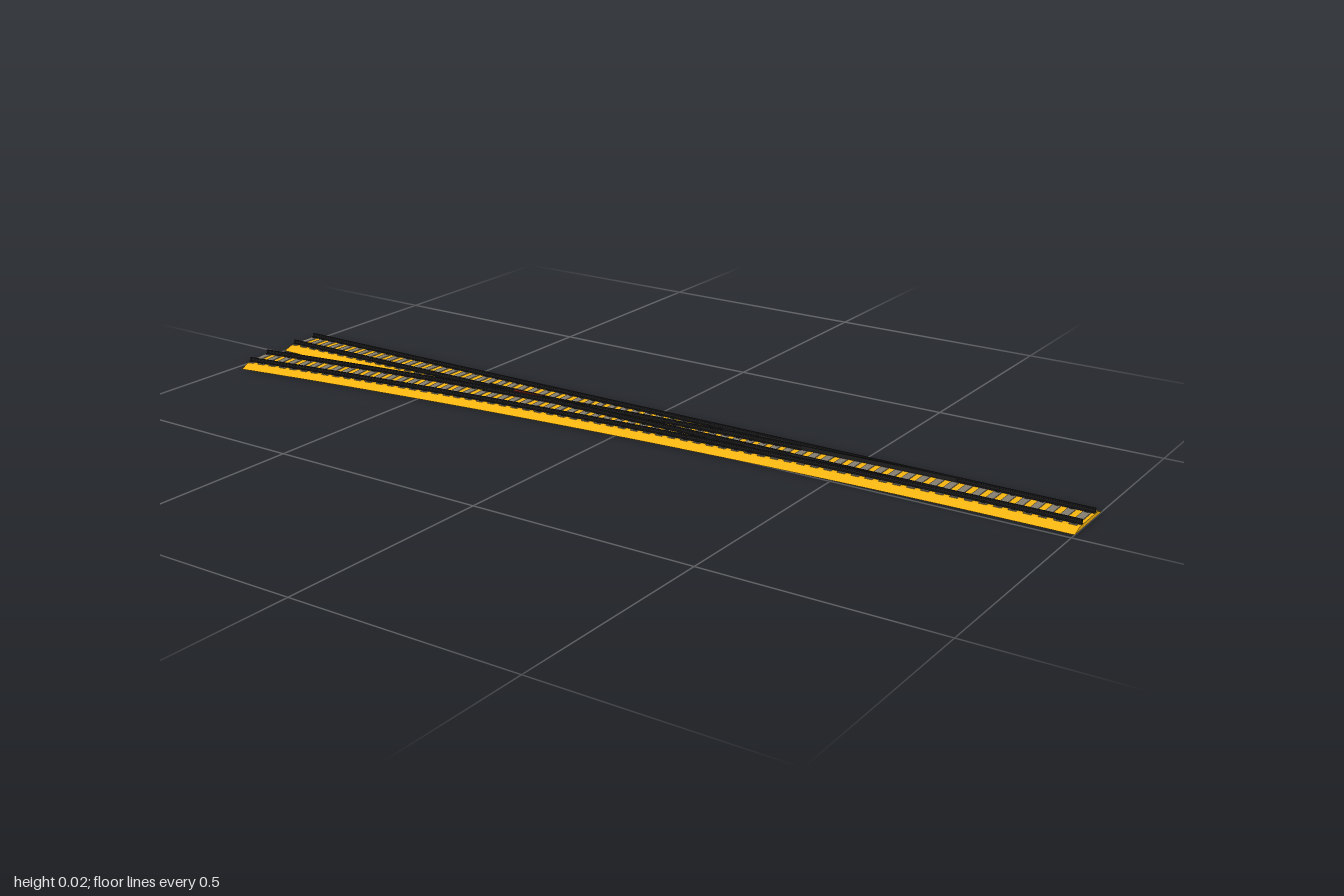
import * as THREE from 'three';
import { mergeGeometries } from 'three/addons/utils/BufferGeometryUtils.js';

const LENGTH = 2, RADIUS = 12.28, START_Z = -0.085, GAUGE = 0.033;
const SLEEPER_TOP = 0.0095, PITCH = 0.03;

// Both routes start at x = 1 and run towards -x; angle is the heading after distance s
const straight = s => ({ x: 1 - s, z: START_Z, angle: 0 });
const curved = s => {
  const angle = s / RADIUS;
  return { x: 1 - RADIUS * Math.sin(angle), z: START_Z + RADIUS * (1 - Math.cos(angle)), angle };
};

const material = color => new THREE.MeshStandardMaterial({ color, flatShading: true });
const ballastMat = material(0xf5b40f);
const sleeperMat = material(0x827c70);
const railMat = material(0x1c1c1e);
const frogMat = material(0x701a16);

const polygon = points => new THREE.Shape(points.map(p => new THREE.Vector2(...p)));
const mirrored = half => polygon([...half, ...half.map(([x, y]) => [-x, y]).reverse()]);

const ballastShape = mirrored([[0.069, 0], [0.045, 0.008]]);
const railShape = mirrored([
  [0.004, 0.0093], [0.004, 0.0105], [0.001, 0.0116],
  [0.001, 0.0158], [0.0021, 0.0166], [0.0021, 0.019],
]);
const bladeShape = mirrored([[0.0012, 0.0095], [0.0012, 0.0188]]);

// Sweep a cross-section along a route, shifted sideways by offset
function sweep(shape, route, from, to, offset = 0) {
  const steps = route === straight ? 1 : Math.ceil((to - from) / 0.05);
  const geo = new THREE.ExtrudeGeometry(shape, { depth: 1, steps, bevelEnabled: false });
  const pos = geo.attributes.position;
  for (let i = 0; i < pos.count; i++) {
    const p = route(from + pos.getZ(i) * (to - from));
    const u = pos.getX(i) + offset;
    pos.setXYZ(i, p.x + u * Math.sin(p.angle), pos.getY(i), p.z + u * Math.cos(p.angle));
  }
  geo.computeVertexNormals();
  return geo;
}

// A box laid across a route
function crossBox(w, h, d, x, y, z, angle) {
  return new THREE.BoxGeometry(w, h, d).rotateY(angle).translate(x, y, z);
}

export function createModel() {
  const group = new THREE.Group();
  const add = (name, geo, mat) => {
    const mesh = new THREE.Mesh(geo, mat);
    mesh.name = name;
    group.add(mesh);
  };

  // Sloped ballast beds
  add('straightBallast', sweep(ballastShape, straight, 0, LENGTH), ballastMat);
  add('curvedBallast', sweep(ballastShape, curved, 0, LENGTH), ballastMat);

  // Sleepers: long shared ones until the routes separate, then one set per route
  const sleepers = [], clips = [];
  for (let s = PITCH / 2; s < LENGTH; s += PITCH) {
    const a = straight(s), b = curved(s), spread = b.z - a.z;
    const box = (p, z, length, angle) => sleepers.push(
      crossBox(0.016, 0.005, length, p.x, SLEEPER_TOP - 0.0025, z, angle));
    if (spread < 0.084) {
      box(a, a.z + spread / 2, 0.084 + spread, b.angle / 2);
    } else {
      box(a, a.z, 0.084, 0);
      box(b, b.z, 0.084, b.angle);
    }
    // Rail clips, left out beside the moving blades and at the crossing
    if (s > 0.2 && s < 0.65) continue;
    for (const [p, outer] of [[a, -1], [b, 1]]) {
      for (const side of [-1, 1]) {
        const inner = side !== outer;
        if (inner && (s < 0.65 || (s > 1.2 && s < 1.36))) continue;
        const u = side * GAUGE;
        clips.push(crossBox(0.007, 0.003, 0.014,
          p.x + u * Math.sin(p.angle), SLEEPER_TOP + 0.0013, p.z + u * Math.cos(p.angle), p.angle));
      }
    }
  }
  add('sleepers', mergeGeometries(sleepers), sleeperMat);
  add('railClips', mergeGeometries(clips), railMat);

  // Rails of each route: outer stock rail, then blade, closure, wing and vee on the inner side
  for (const [name, route, side, other] of [
    ['straight', straight, 1, curved],
    ['curved', curved, -1, straight],
  ]) {
    const inner = side * GAUGE;
    add(name + 'StockRail', sweep(railShape, route, 0, LENGTH, -inner), railMat);
    add(name + 'SwitchBlade', sweep(bladeShape, route, 0.28, 0.62, inner), railMat);
    add(name + 'ClosureRail', sweep(railShape, route, 0.62, 1.22, inner), railMat);
    add(name + 'WingRail', sweep(railShape, other, 1.22, 1.4, -inner + side * 0.006), railMat);
    add(name + 'VeeRail', sweep(railShape, route, 1.31, LENGTH, inner), railMat);
  }

  // Crossing nose where the inner rails meet
  const nose = new THREE.ExtrudeGeometry(
    polygon([[-0.25, -0.053], [-0.25, -0.051], [-0.325, -0.045], [-0.325, -0.054]]),
    { depth: 0.0095, bevelEnabled: false });
  add('crossingNose', nose.rotateX(Math.PI / 2).translate(0, 0.0192, 0), frogMat);

  return group;
}
